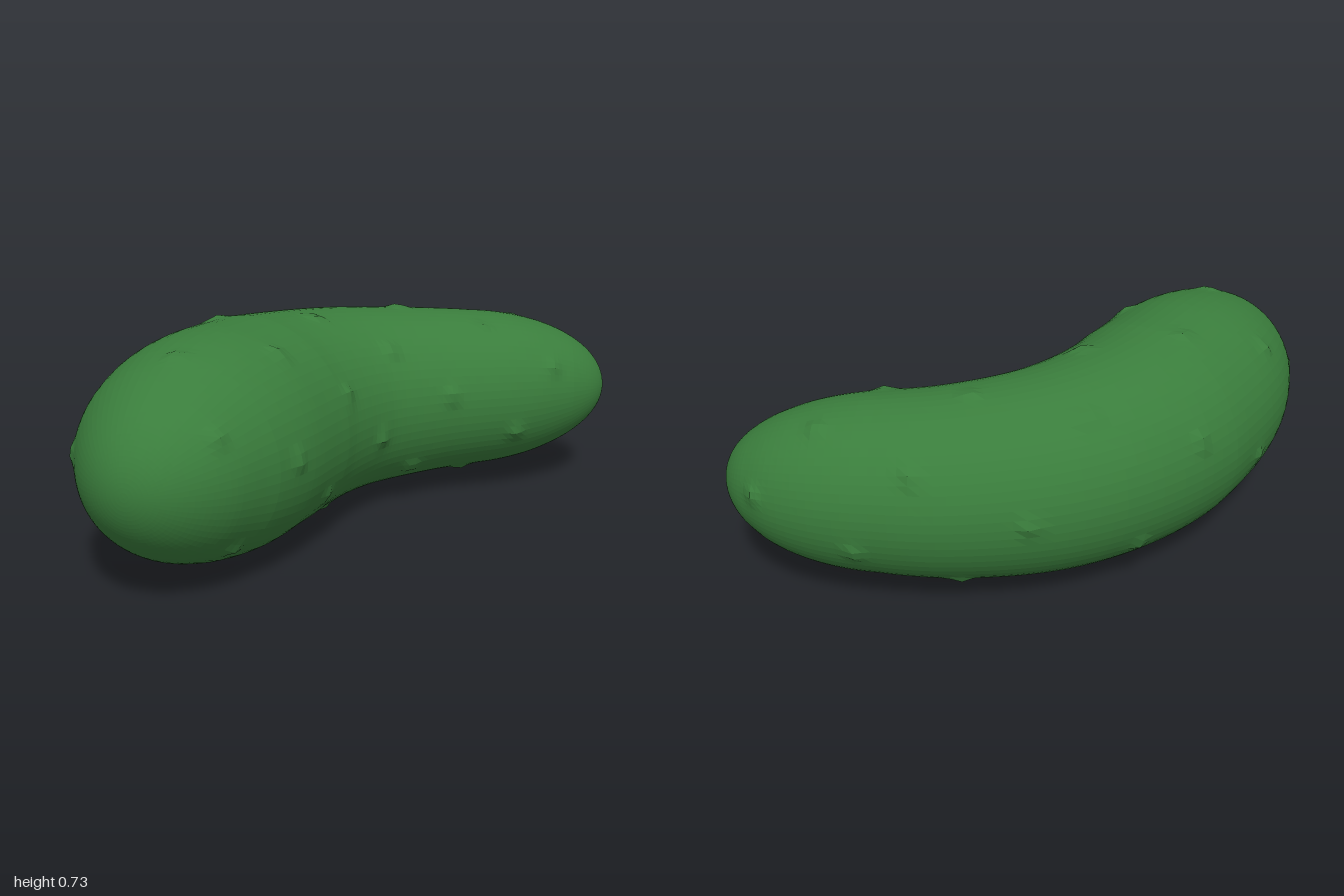
import * as THREE from 'three';

const RINGS = 110, SIDES = 64;

// Curved centre line from the thick end (left of front view) to the thin end
const spine = new THREE.CatmullRomCurve3([
  [-0.885, 0.385, 0.55], [-0.77, 0.38, 0.40], [-0.68, 0.377, 0.28], [-0.55, 0.371, 0.13],
  [-0.275, 0.36, -0.13], [0, 0.357, -0.265], [0.3, 0.354, -0.29], [0.55, 0.355, -0.25],
  [0.75, 0.356, -0.20], [0.87, 0.357, -0.155], [0.99, 0.358, -0.10],
].map((p) => new THREE.Vector3(...p)), false, 'centripetal');
spine.arcLengthDivisions = 600;

// Body radius: gentle taper with an elliptical cap at each end
function radiusAt(s, length) {
  const body = THREE.MathUtils.lerp(0.36, 0.285, THREE.MathUtils.clamp((s - 0.8) / 0.95, 0, 1));
  const cap = (d, a) => (d >= a ? 1 : Math.sqrt(Math.max(0, 1 - ((a - d) / a) ** 2)));
  return body * cap(s, 0.62) * cap(length - s, 0.55);
}

// Point on the smooth skin at fraction u and angle a, raised by lift
function skinPoint(u, a, lift = 0) {
  const c = spine.getPointAt(u), t = spine.getTangentAt(u);
  const side = new THREE.Vector3(-t.z, 0, t.x).normalize();
  const length = spine.getLength();
  const r = radiusAt(u * length, length);
  const k = r > 0.001 ? r + lift : 0;
  return c.addScaledVector(side, Math.cos(a) * k).add(new THREE.Vector3(0, Math.sin(a) * k, 0));
}

// Small warts scattered in a golden-angle spiral
function wartCentres(count) {
  const list = [];
  for (let i = 0; i < count; i++) {
    list.push(skinPoint(0.06 + 0.88 * (i + 0.5) / count, i * 2.39996 + 0.6));
  }
  return list;
}

function bodyGeometry() {
  const warts = wartCentres(36), positions = [], index = [];
  for (let i = 0; i <= RINGS; i++) {
    // Rings are closer together towards the rounded ends
    const u = (1 - Math.cos(Math.PI * i / RINGS)) / 2;
    for (let j = 0; j < SIDES; j++) {
      const a = j / SIDES * Math.PI * 2;
      const p = skinPoint(u, a);
      let lift = 0;
      for (const w of warts) lift = Math.max(lift, 0.014 * Math.exp(-p.distanceToSquared(w) / 0.0008));
      positions.push(...skinPoint(u, a, lift).toArray());
      if (i < RINGS) {
        const k = i * SIDES, n = (j + 1) % SIDES;
        index.push(k + j, k + SIDES + j, k + n, k + n, k + SIDES + j, k + SIDES + n);
      }
    }
  }
  const geometry = new THREE.BufferGeometry();
  geometry.setAttribute('position', new THREE.Float32BufferAttribute(positions, 3));
  geometry.setIndex(index);
  geometry.computeVertexNormals();
  return geometry;
}

export function createModel() {
  const group = new THREE.Group();
  group.name = 'pickle';
  const skin = new THREE.MeshStandardMaterial({ color: 0x3a7d3c, flatShading: true });
  const body = new THREE.Mesh(bodyGeometry(), skin);
  body.name = 'pickleBody';
  group.add(body);
  return group;
}
